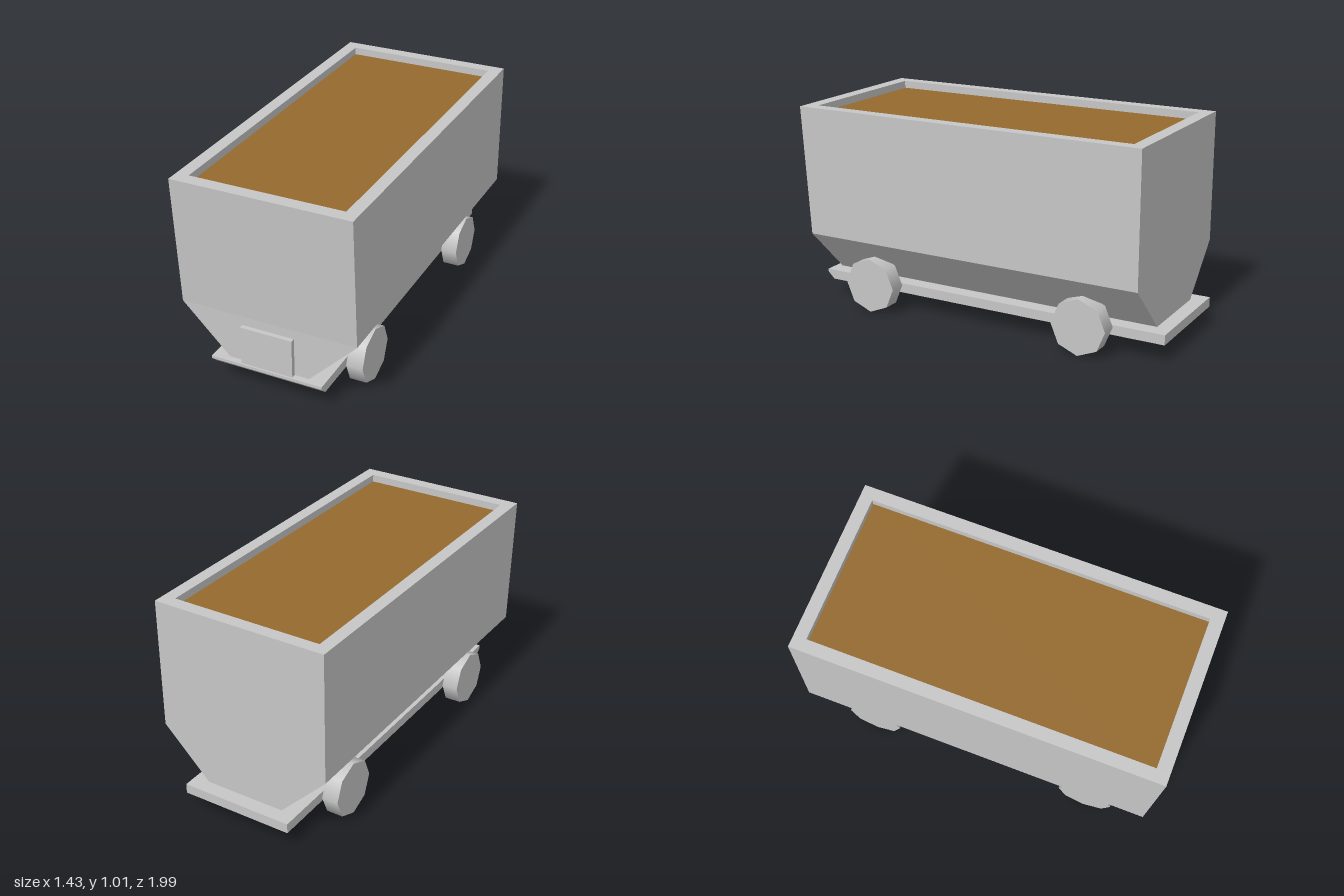
import * as THREE from 'three';

export function createModel() {
  const metal = new THREE.MeshStandardMaterial({ color: 0xc6c6c6 });
  metal.name = 'greyMetal';
  const ore = new THREE.MeshStandardMaterial({ color: 0x94692e });
  ore.name = 'brownLoad';

  const cart = new THREE.Group();
  cart.name = 'cart';

  function add(name, geometry, material = metal) {
    const mesh = new THREE.Mesh(geometry, material);
    mesh.name = name;
    cart.add(mesh);
    return mesh;
  }

  // Box given by its lower and upper corner
  function box(name, a, b, material) {
    const g = new THREE.BoxGeometry(b[0] - a[0], b[1] - a[1], b[2] - a[2]);
    g.translate((a[0] + b[0]) / 2, (a[1] + b[1]) / 2, (a[2] + b[2]) / 2);
    return add(name, g, material);
  }

  // Side profile of [z, y] points, extruded across the cart from x0 to x1
  function acrossX(name, points, x0, x1, hole) {
    const toPoints = (list) => list.map(([z, y]) => new THREE.Vector2(-z, y));
    const shape = new THREE.Shape(toPoints(points));
    if (hole) shape.holes.push(new THREE.Path(toPoints(hole)));
    const g = new THREE.ExtrudeGeometry(shape, { depth: x1 - x0, bevelEnabled: false });
    g.rotateY(Math.PI / 2).translate(x0, 0, 0);
    return add(name, g);
  }

  const top = 1.012, waist = 0.375, floor = 0.138;
  const half = 0.437, innerHalf = 0.375, slotDepth = 0.04;
  const back = -0.895, frontLow = 0.857, frontTop = 0.897, innerEnd = 0.832;

  // Side walls: outer layer with a long slot, solid inner layer behind it
  const wall = [[back, waist], [frontLow, waist], [frontTop, top], [back, top]];
  const slot = [[-0.615, 0.775], [0.588, 0.775], [0.588, 0.87], [-0.615, 0.87]];
  const layer = half - slotDepth;
  acrossX('leftOuterWall', wall, layer, half, slot);
  acrossX('leftInnerWall', wall, innerHalf, layer);
  acrossX('rightOuterWall', wall, -half, -layer, slot);
  acrossX('rightInnerWall', wall, -layer, -innerHalf);

  // End walls; the front one leans outwards
  acrossX('frontWall', [[innerEnd, waist], [frontLow, waist], [frontTop, top], [innerEnd, top]],
    -innerHalf, innerHalf);
  box('backWall', [-innerHalf, waist, back], [innerHalf, top, -innerEnd]);

  // Load just below the rim
  box('load', [-innerHalf, waist, -innerEnd], [innerHalf, 0.975, innerEnd], ore);

  // Tapered hopper bottom
  const hopper = new THREE.Shape([[-half, waist], [-0.202, floor], [0.202, floor], [half, waist]]
    .map(([x, y]) => new THREE.Vector2(x, y)));
  add('hopperBottom', new THREE.ExtrudeGeometry(hopper, { depth: frontLow - back, bevelEnabled: false })
    .translate(0, 0, back));

  // Chassis plate with a chamfered front lip
  acrossX('chassisPlate', [[-0.965, 0.09], [0.853, 0.09], [0.888, 0.124], [0.888, floor], [-0.965, floor]],
    -0.28, 0.28);

  // Small plate on the front
  box('frontPlate', [-0.13, floor - 0.01, 0.84], [0.13, 0.33, 0.88]);

  // Eight-sided wheels and their axles
  const r = 0.137, outer = 0.386, width = 0.082;
  for (const [end, z] of [['front', 0.555], ['back', -0.585]]) {
    for (const [side, s] of [['Left', 1], ['Right', -1]]) {
      const wheel = add(`${end}${side}Wheel`, new THREE.CylinderGeometry(r, r, width, 8).rotateZ(Math.PI / 2));
      wheel.position.set(s * (outer - width / 2), r, z);
    }
    const axle = add(`${end}Axle`, new THREE.CylinderGeometry(0.015, 0.015, 0.64, 8).rotateZ(Math.PI / 2));
    axle.position.set(0, 0.118, z);
  }

  // The cart stands turned by twenty degrees
  cart.rotation.y = THREE.MathUtils.degToRad(20);
  const model = new THREE.Group();
  model.name = 'mineCart';
  model.add(cart);
  return model;
}
